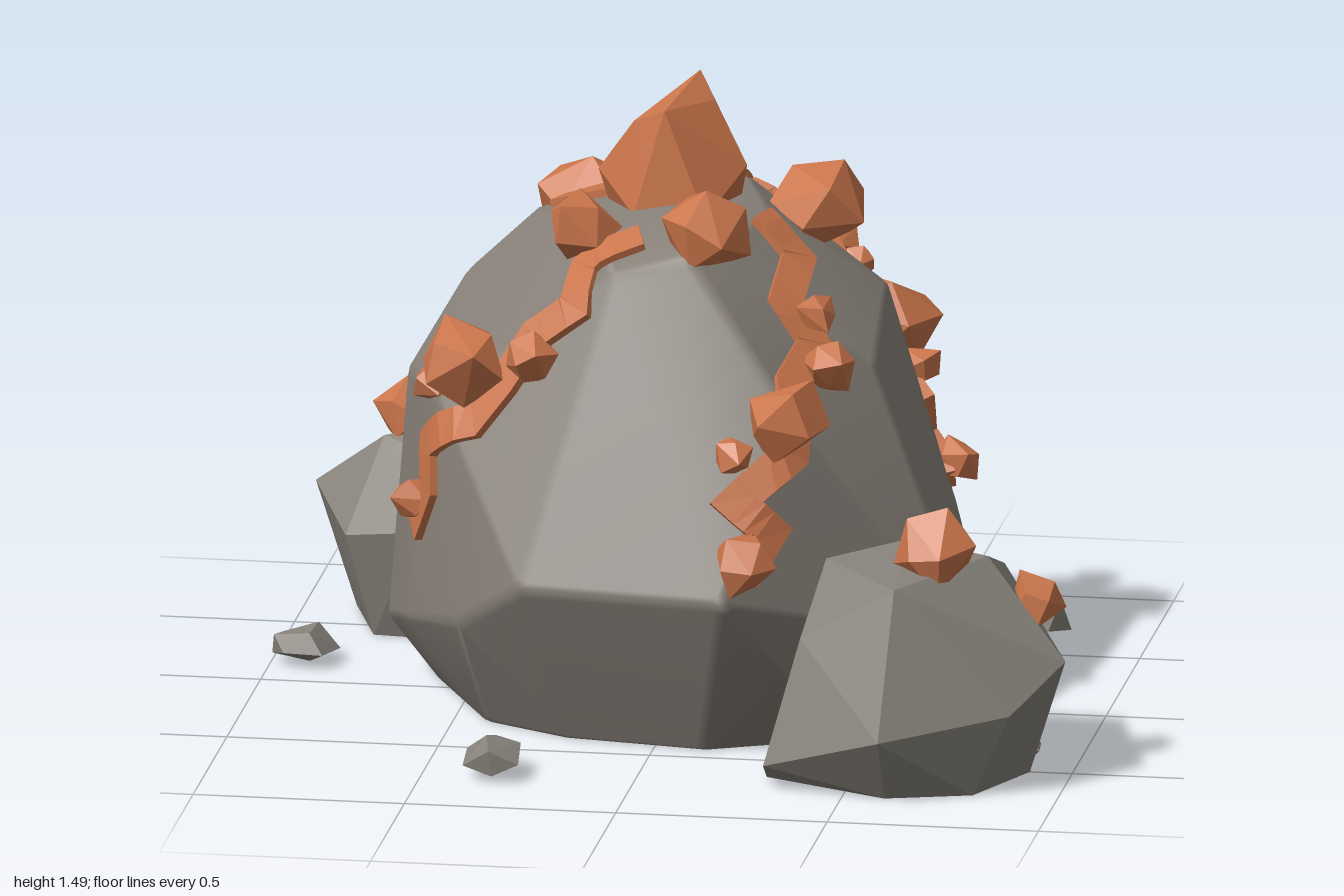
import * as THREE from 'three';
import { mergeVertices } from 'three/addons/utils/BufferGeometryUtils.js';
import { ConvexGeometry } from 'three/addons/geometries/ConvexGeometry.js';

const V = (x, y, z) => new THREE.Vector3(x, y, z);
const CENTRE = V(0, 0.45, 0);

let seed = 7;
const rand = () => (seed = (seed * 16807) % 2147483647) / 2147483647;

// evenly spread directions on a sphere
const sphereDirs = (n) => Array.from({ length: n }, (_, i) => {
  const y = 1 - (2 * i + 1) / n, r = Math.sqrt(1 - y * y), a = i * 2.39996;
  return V(r * Math.cos(a), y, r * Math.sin(a));
});

// faceted hull through a few corners
const hull = (pts) => new ConvexGeometry(pts.map((p) => V(...p)));

// irregular faceted lump around the origin with the given half sizes
function lump(rx, ry, rz, corners = 11) {
  const spin = new THREE.Euler(rand() * 6, rand() * 6, rand() * 6);
  const pts = sphereDirs(corners).map((d) => d.applyEuler(spin).multiplyScalar(0.8 + rand() * 0.4));
  const box = new THREE.Box3().setFromPoints(pts);
  const mid = box.getCenter(V(0, 0, 0)), size = box.getSize(V(0, 0, 0));
  return new ConvexGeometry(pts.map((p) => p.sub(mid).divide(size).multiply(V(2 * rx, 2 * ry, 2 * rz))));
}

// main boulder: corners rounded by a small ball, so facets stay flat with soft bevels
function boulderGeometry() {
  const corners = [
    // base
    [-0.6, 0, -0.1], [-0.43, 0, 0.27], [-0.22, 0, 0.39], [0.12, 0, 0.44], [0.45, 0, 0.28], [0.6, 0, 0.08],
    [0.49, 0, -0.27], [0.11, 0, -0.63], [-0.33, 0, -0.5], [-0.55, 0, -0.33],
    // low undercut edge
    [0.55, 0.12, -0.34], [0.13, 0.1, -0.7], [-0.71, 0.14, -0.12], [-0.64, 0.2, -0.38], [-0.64, 0.2, 0.1],
    // widest belt
    [-0.47, 0.27, 0.4], [-0.3, 0.4, 0.54], [0.19, 0.4, 0.6], [0.7, 0.28, 0.03], [0.7, 0.22, 0.14],
    [0.58, 0.4, -0.35], [0.43, 0.3, -0.53], [0.13, 0.3, -0.75], [-0.4, 0.35, -0.6], [-0.1, 0.34, -0.7],
    // shoulders
    [-0.65, 0.75, -0.1], [-0.54, 0.76, 0.2], [-0.52, 0.98, -0.15], [-0.44, 0.86, -0.4], [-0.37, 1.12, -0.2],
    [0.32, 0.8, 0.38], [0.46, 0.87, 0.12], [0.43, 0.96, -0.25], [0.25, 1.0, -0.46], [-0.2, 0.93, -0.49],
    // crown
    [-0.12, 1.1, 0.27], [0.06, 1.15, 0.27], [0.2, 1.18, -0.05], [0.1, 1.19, -0.3], [-0.18, 1.18, -0.25],
    [-0.22, 1.17, 0.05], [0, 1.21, 0.1],
  ];
  const r = 0.05, pts = [];
  for (const [x, y, z] of corners) {
    const k = 1 - (r * (1 - y / 2.4)) / Math.hypot(x, z);
    for (const d of sphereDirs(60))
      pts.push(V(x * k + d.x * r, Math.max(0, y * 0.94 + 0.025 + d.y * r), z * k + d.z * r));
  }
  const g = new ConvexGeometry(pts);
  g.deleteAttribute('normal');
  const smooth = mergeVertices(g, 1e-4);
  smooth.computeVertexNormals();
  return smooth;
}

// nearest boulder surface point on the line from its centre through p
const ray = new THREE.Raycaster();
function project(boulder, p) {
  const dir = p.clone().sub(CENTRE).normalize();
  ray.set(CENTRE.clone().addScaledVector(dir, 3), dir.clone().negate());
  const hit = ray.intersectObject(boulder)[0];
  return { dir, point: hit.point, normal: hit.face.normal.clone().lerp(dir, 0.3).normalize() };
}

// zigzag ore ribbon hugging the boulder
function veinGeometry(boulder, path, half = 0.042) {
  const pts = path.map((p) => V(...p)), hits = [];
  pts.forEach((p, i) => {
    const next = pts[i + 1], steps = next ? 4 : 1;
    for (let s = 0; s < steps; s++) hits.push(project(boulder, next ? p.clone().lerp(next, s / steps) : p));
  });
  const pos = [], idx = [];
  const last = hits.length - 1;
  hits.forEach(({ point, normal }, i) => {
    const a = point.clone().sub(hits[Math.max(0, i - 1)].point).normalize();
    const b = hits[Math.min(last, i + 1)].point.clone().sub(point).normalize();
    const t = a.clone().add(b).normalize();
    const ref = i < last ? b : a;
    const miter = Math.min(1.4, 1 / Math.max(0.3, Math.abs(t.dot(ref))));
    const side = normal.clone().cross(t).normalize().multiplyScalar(half * miter);
    for (const [s, h] of [[1, 0.016], [-1, 0.016], [-1, -0.03], [1, -0.03]])
      pos.push(...point.clone().addScaledVector(side, s).addScaledVector(normal, h).toArray());
    if (i === last) return;
    for (let k = 0; k < 4; k++) {
      const p = i * 4 + k, q = i * 4 + ((k + 1) % 4);
      idx.push(p, q, p + 4, q, q + 4, p + 4);
    }
  });
  const e = last * 4;
  idx.push(0, 2, 1, 0, 3, 2, e, e + 1, e + 2, e, e + 2, e + 3);
  const g = new THREE.BufferGeometry();
  g.setAttribute('position', new THREE.Float32BufferAttribute(pos, 3));
  g.setIndex(idx);
  const flat = g.toNonIndexed();
  flat.computeVertexNormals();
  return flat;
}

export function createModel() {
  const model = new THREE.Group();
  model.name = 'oreRock';
  const stone = new THREE.MeshStandardMaterial({ name: 'warm grey stone', color: 0x867f77 });
  const paleStone = new THREE.MeshStandardMaterial({ name: 'grey stone', color: 0x86827a });
  const copper = new THREE.MeshStandardMaterial({ name: 'copper ore', color: 0xca754b });
  const add = (name, geometry, material, at = [0, 0, 0]) => {
    const mesh = new THREE.Mesh(geometry, material);
    mesh.name = name;
    mesh.position.set(...at);
    model.add(mesh);
    return mesh;
  };

  const boulder = add('boulder', boulderGeometry(), stone);

  // side rocks
  add('frontRock', hull([
    [0.3, 0, 0.64], [0.31, 0.06, 0.76], [0.6, 0.16, 0.88], [0.89, 0.2, 0.74], [1, 0.3, 0.6], [0.84, 0.29, 0.23],
    [0.62, 0.2, 0.19], [0.5, 0.45, 0.29], [0.42, 0.5, 0.51], [0.39, 0.36, 0.71], [0.6, 0.53, 0.42], [0.62, 0.5, 0.76],
    [0.8, 0.52, 0.5], [0.81, 0.45, 0.31], [0.78, 0, 0.24], [0.9, 0, 0.5], [0.8, 0, 0.72], [0.6, 0, 0.78], [0.45, 0, 0.3],
  ]), paleStone);
  add('backRock', hull([
    [-0.97, 0.31, -0.63], [-0.92, 0.27, -0.79], [-0.67, 0.2, -0.88], [-0.6, 0.18, -0.85], [-0.41, 0.22, -0.6],
    [-0.55, 0.4, -0.42], [-0.68, 0.28, -0.32], [-0.86, 0.25, -0.38], [-0.8, 0.44, -0.58], [-0.62, 0.48, -0.6],
    [-0.72, 0.4, -0.73], [-0.88, 0, -0.67], [-0.7, 0, -0.8], [-0.5, 0, -0.65], [-0.6, 0, -0.4], [-0.8, 0, -0.42],
  ]), paleStone);

  // loose pebbles: x, z, half sizes
  for (const [x, z, rx, ry, rz] of [
    [-0.92, -0.17, 0.08, 0.044, 0.075], [0.705, -0.655, 0.105, 0.054, 0.09],
    [-0.335, 0.715, 0.07, 0.047, 0.085], [0.86, 0.41, 0.05, 0.032, 0.05],
  ]) add('pebble', lump(rx, ry, rz, 10), paleStone, [x, ry, z]);

  // large crown nugget
  add('peakNugget', hull([
    [-0.21, 1.26, -0.06], [-0.05, 1.28, -0.25], [0.14, 1.28, -0.07], [-0.11, 1.18, 0.05], [0.06, 1.18, 0.05],
    [0.02, 1.49, -0.13], [-0.12, 1.39, -0.02], [-0.04, 1.43, 0.03], [0.06, 1.43, -0.09], [0.1, 1.12, -0.18],
    [-0.18, 1.12, -0.12],
  ]), copper);

  // nuggets seated on the boulder: x, y, z, radius
  for (const [x, y, z, r] of [
    [0.09, 1.2, 0.2, 0.105], [0.29, 1.15, -0.2, 0.115], [-0.27, 1.12, -0.27, 0.11], [-0.36, 0.85, -0.52, 0.1],
    [-0.27, 0.52, -0.68, 0.055], [-0.48, 0.86, 0.24, 0.105], [-0.21, 1.17, 0.11, 0.085], [-0.31, 0.9, 0.3, 0.065],
    [-0.61, 0.5, 0.15, 0.055], [0.32, 0.81, 0.43, 0.095], [0.42, 0.94, 0.3, 0.065], [0.36, 1.03, 0.18, 0.045],
    [0.24, 0.49, 0.57, 0.075], [0.2, 0.73, 0.49, 0.045], [0.48, 0.86, -0.46, 0.105], [0.29, 1.0, -0.52, 0.06],
    [0.61, 0.52, -0.35, 0.055], [0.36, 0.98, -0.43, 0.04], [0.55, 0.75, -0.38, 0.05], [-0.42, 0.93, -0.39, 0.05],
    [-0.28, 0.76, -0.6, 0.05], [-0.54, 0.78, 0.15, 0.06],
  ]) {
    const p = V(x, y, z), { dir, point } = project(boulder, p);
    const surface = point.distanceTo(CENTRE);
    const d = THREE.MathUtils.clamp(p.distanceTo(CENTRE), surface + 0.1 * r, surface + 0.6 * r);
    add('nugget', lump(r, r * 0.95, r), copper, CENTRE.clone().addScaledVector(dir, d).toArray());
  }

  // nuggets on the side rocks
  for (const [x, y, z, r] of [[0.69, 0.56, 0.58, 0.1], [0.92, 0.43, 0.5, 0.063], [-0.76, 0.49, -0.64, 0.076]])
    add('nugget', lump(r, r, r), copper, [x, y, z]);

  // ore veins running down from the crown
  for (const path of [
    [[0.18, 1.17, 0], [0.28, 1.1, 0.03], [0.28, 1.05, 0.19], [0.37, 0.97, 0.23], [0.33, 0.9, 0.36], [0.33, 0.73, 0.43],
      [0.2, 0.62, 0.5], [0.3, 0.56, 0.53], [0.23, 0.46, 0.57]],
    [[-0.07, 1.18, 0.18], [-0.2, 1.1, 0.2], [-0.21, 1.02, 0.28], [-0.33, 0.97, 0.28], [-0.4, 0.85, 0.3],
      [-0.46, 0.74, 0.3], [-0.58, 0.65, 0.2], [-0.58, 0.55, 0.22], [-0.61, 0.43, 0.15]],
    [[0.05, 1.2, -0.25], [0.08, 1.17, -0.35], [0.22, 1.1, -0.36], [0.23, 1.02, -0.49], [0.4, 0.93, -0.46],
      [0.5, 0.8, -0.47], [0.57, 0.69, -0.36], [0.55, 0.58, -0.41], [0.62, 0.47, -0.33]],
    [[-0.18, 1.18, -0.16], [-0.3, 1.13, -0.19], [-0.32, 1.03, -0.35], [-0.28, 0.96, -0.45], [-0.4, 0.83, -0.5],
      [-0.36, 0.74, -0.57], [-0.25, 0.68, -0.61], [-0.33, 0.6, -0.62], [-0.26, 0.5, -0.67]],
  ]) add('oreVein', veinGeometry(boulder, path), copper);

  return model;
}
